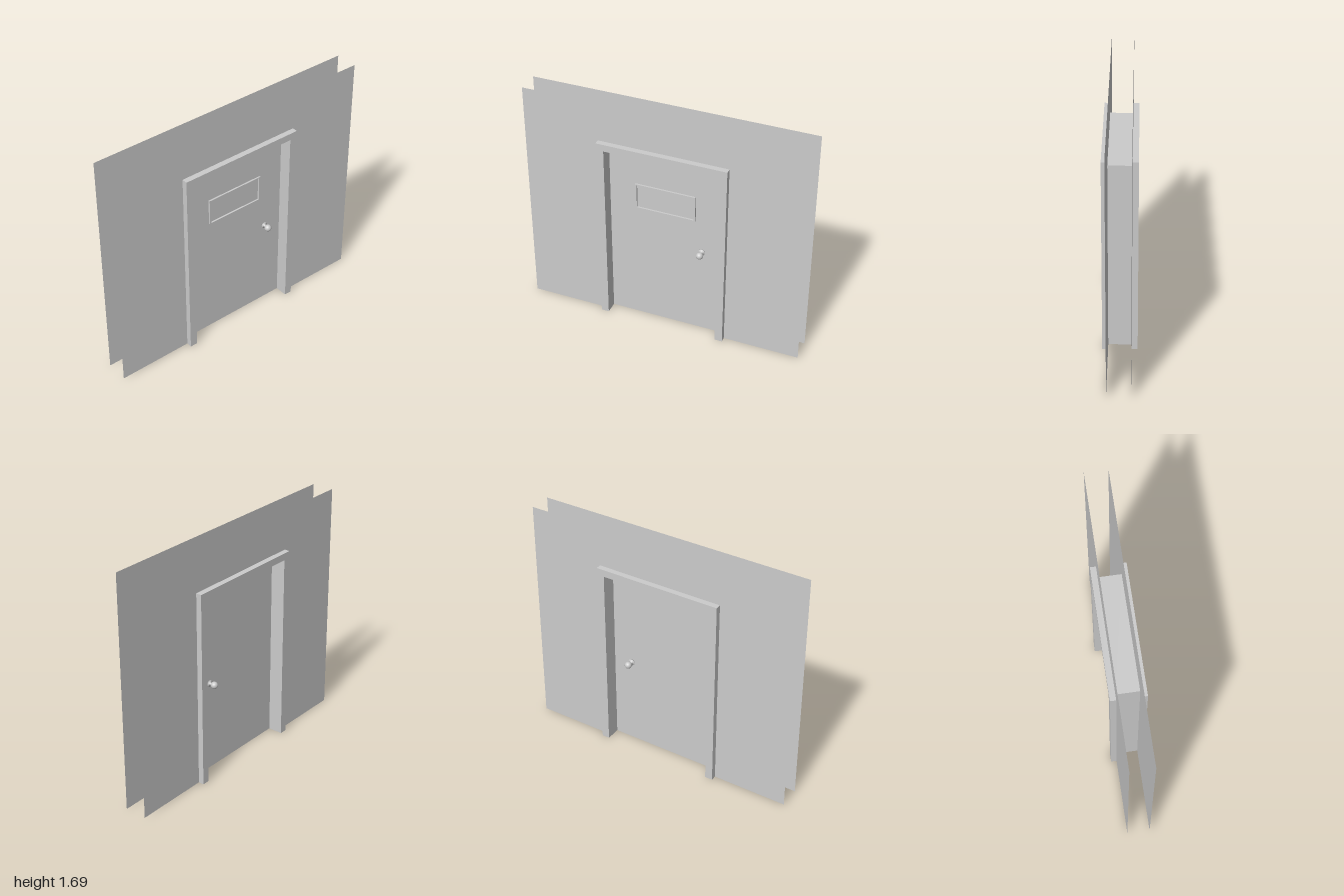
import * as THREE from 'three';

const WALL = 0.08;      // half gap between the two wall sheets
const CASING = 0.04;    // casing depth
const OPEN_W = 0.405;   // half width of the opening
const OPEN_H = 1.358;   // height of the opening
const DOOR_FRONT = 0.03, DOOR_BACK = -0.015;

const grey = new THREE.MeshStandardMaterial({ color: 0xcccccc });
const greyBoth = new THREE.MeshStandardMaterial({ color: 0xcccccc, side: THREE.DoubleSide });

// Arch-like outline (an upside-down U) around the door opening
function portalShape(halfWidth, height) {
  return new THREE.Shape([
    [-halfWidth, 0], [-OPEN_W, 0], [-OPEN_W, OPEN_H], [OPEN_W, OPEN_H],
    [OPEN_W, 0], [halfWidth, 0], [halfWidth, height], [-halfWidth, height],
  ].map(([z, y]) => new THREE.Vector2(z, y)));
}

function add(group, name, geometry, material, x = 0, y = 0, z = 0) {
  const mesh = new THREE.Mesh(geometry, material);
  mesh.name = name;
  mesh.position.set(x, y, z);
  group.add(mesh);
  return mesh;
}

// Rosette, neck and ball, pointing out along side * x
function makeKnob(side) {
  const profile = [[0, 0], [0.024, 0], [0.024, 0.006], [0.01, 0.009], [0.01, 0.03]]
    .map(([r, h]) => new THREE.Vector2(r, h));
  const knob = new THREE.Group();
  knob.name = side > 0 ? 'frontKnob' : 'backKnob';
  add(knob, 'knobStem', new THREE.LatheGeometry(profile, 24), greyBoth);
  add(knob, 'knobBall', new THREE.SphereGeometry(0.025, 24, 16), grey, 0, 0.044, 0);
  knob.rotation.z = -side * Math.PI / 2;
  return knob;
}

export function createModel() {
  const model = new THREE.Group();
  model.name = 'doorway';

  // Wall sheets and casings on both sides
  for (const side of [1, -1]) {
    const label = side > 0 ? 'front' : 'back';
    const wall = new THREE.ShapeGeometry(portalShape(1, 1.69)).rotateY(-Math.PI / 2);
    add(model, label + 'Wall', wall, greyBoth, side * WALL);

    const casing = new THREE.ExtrudeGeometry(portalShape(0.46, 1.408), { depth: CASING, bevelEnabled: false });
    casing.translate(0, 0, -CASING / 2).rotateY(-Math.PI / 2);
    add(model, label + 'Casing', casing, grey, side * (WALL + CASING / 2));
  }

  // Thin lining of the opening between the walls
  for (const side of [1, -1]) {
    const jamb = new THREE.PlaneGeometry(2 * WALL, OPEN_H);
    add(model, side > 0 ? 'leftJamb' : 'rightJamb', jamb, greyBoth, 0, OPEN_H / 2, side * OPEN_W);
  }
  const head = new THREE.PlaneGeometry(2 * WALL, 2 * OPEN_W).rotateX(-Math.PI / 2);
  add(model, 'headJamb', head, greyBoth, 0, OPEN_H, 0);

  // Door leaf
  const door = new THREE.Group();
  door.name = 'door';
  model.add(door);
  const leaf = new THREE.BoxGeometry(DOOR_FRONT - DOOR_BACK, OPEN_H - 0.002, 2 * OPEN_W - 0.002);
  add(door, 'doorLeaf', leaf, grey, (DOOR_FRONT + DOOR_BACK) / 2, OPEN_H / 2, 0);

  // Raised frame of the window panel, on the front only
  for (const side of [1, -1]) {
    add(door, 'panelUpright', new THREE.BoxGeometry(0.012, 0.19, 0.012), grey, DOOR_FRONT + 0.006, 1.005, side * 0.211);
    add(door, 'panelRail', new THREE.BoxGeometry(0.012, 0.006, 0.41), grey, DOOR_FRONT + 0.006, 1.005 + side * 0.092, 0);
  }

  // Knobs
  for (const side of [1, -1]) {
    const knob = makeKnob(side);
    knob.position.set(side > 0 ? DOOR_FRONT : DOOR_BACK, 0.66, -0.265);
    door.add(knob);
  }

  return model;
}
